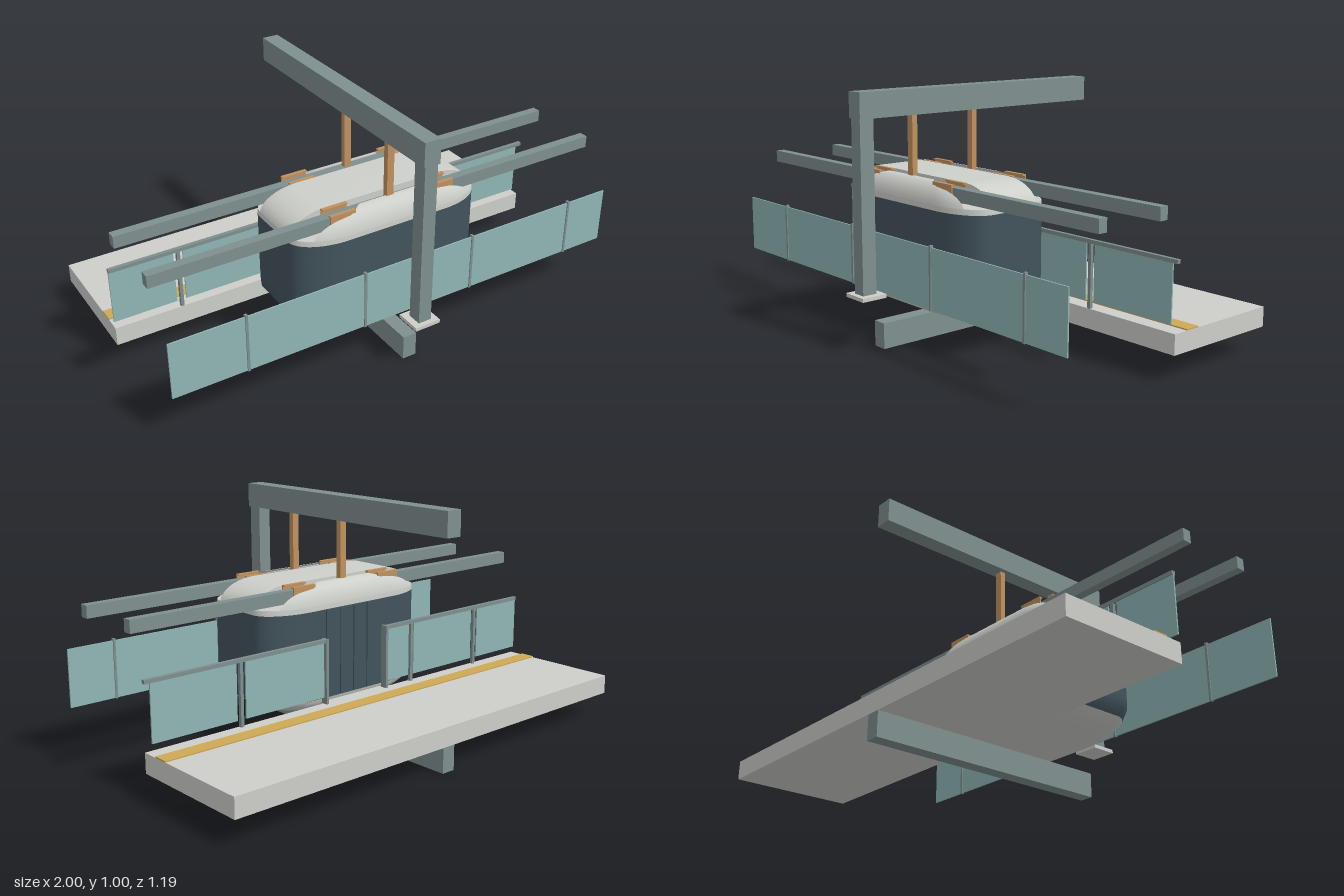
import * as THREE from 'three';
import { toCreasedNormals } from 'three/addons/utils/BufferGeometryUtils.js';

const mat = (name, color) => Object.assign(new THREE.MeshStandardMaterial({ color }), { name });

export function createModel() {
  const steel = mat('steel', 0x7f8f8f);
  const white = mat('pale shell', 0xcdcfca);
  const dark = mat('dark glazing', 0x42535c);
  const glass = mat('teal glass', 0x8fb6b5);
  const copper = mat('copper', 0xc0925f);
  const yellow = mat('safety yellow', 0xcfa955);

  const model = new THREE.Group();
  model.name = 'suspendedPodStation';

  const add = (parent, name, geo, material) => {
    const mesh = new THREE.Mesh(geo, material);
    mesh.name = name;
    parent.add(mesh);
    return mesh;
  };
  // Box given by its extents on each axis
  const box = (parent, name, material, [x0, x1], [y0, y1], [z0, z1]) => {
    const mesh = add(parent, name, new THREE.BoxGeometry(x1 - x0, y1 - y0, z1 - z0), material);
    mesh.position.set((x0 + x1) / 2, (y0 + y1) / 2, (z0 + z1) / 2);
    return mesh;
  };
  const group = (name) => {
    const g = new THREE.Group();
    g.name = name;
    model.add(g);
    return g;
  };

  // Support frame
  const frame = group('supportFrame');
  box(frame, 'topBeam', steel, [-0.035, 0.035], [0.9, 1], [-0.597, 0.58]);
  box(frame, 'column', steel, [-0.028, 0.028], [0.228, 0.9], [0.515, 0.576]);
  box(frame, 'basePlate', white, [-0.056, 0.056], [0.213, 0.228], [0.488, 0.597]);
  box(frame, 'lowerBeam', steel, [-0.03, 0.03], [0, 0.103], [-0.597, 0.484]);

  // Rails with their hangers
  const railZ = [0.012, 0.313];
  const rails = group('rails');
  for (const z of railZ) {
    box(rails, 'rail', steel, [-1, 1], [0.6, 0.65], [z - 0.019, z + 0.019]);
    box(rails, 'hanger', copper, [-0.015, 0.015], [0.65, 0.9], [z - 0.012, z + 0.012]);
  }

  // Platform
  const platform = group('platform');
  box(platform, 'slab', white, [-1, 1], [0.103, 0.182], [-0.597, -0.07]);
  box(platform, 'warningStrip', yellow, [-1, 1], [0.182, 0.187], [-0.2, -0.137]);
  box(platform, 'doorSill', white, [-0.16, 0.16], [0.165, 0.182], [-0.07, -0.045]);

  // Front glass barrier
  const barrier = group('frontBarrier');
  box(barrier, 'barrierGlass', glass, [-1, 1], [0.215, 0.45], [0.46, 0.466]);
  for (const x of [-0.7, -0.2, 0.3, 0.8])
    box(barrier, 'barrierPost', steel, [x - 0.005, x + 0.005], [0.213, 0.458], [0.456, 0.47]);

  // Platform edge screens either side of the door gap
  const screens = group('platformScreens');
  for (const s of [-1, 1]) {
    const span = (a, b) => [Math.min(a * s, b * s), Math.max(a * s, b * s)];
    box(screens, 'handrail', steel, span(0.16, 1), [0.435, 0.45], [-0.086, -0.07]);
    box(screens, 'doorPost', steel, span(0.158, 0.17), [0.182, 0.45], [-0.09, -0.06]);
  }
  for (const [a, b] of [[-1, -0.735], [-0.695, -0.33], [-0.3, -0.175], [0.175, 0.562], [0.603, 0.975]])
    box(screens, 'screenGlass', glass, [a, b], [0.21, 0.435], [-0.081, -0.075]);
  for (const x of [-0.715, -0.315, 0.583])
    box(screens, 'screenPost', steel, [x - 0.007, x + 0.007], [0.182, 0.435], [-0.085, -0.071]);

  // Pod hull: half length and half width vary with height, ends rounded in plan
  const ZC = 0.163, Y0 = 0.143, Y1 = 0.663;
  const drop = (t) => 1 - Math.sqrt(Math.max(0, 1 - Math.max(0, t) ** 2));
  const halfLength = (y) => 0.42 - 0.22 * drop((0.25 - y) / 0.107) - 0.16 * drop((y - 0.57) / 0.093);
  const halfWidth = (y) => 0.22 - 0.065 * drop((0.22 - y) / 0.077) - 0.065 * drop((y - 0.57) / 0.093);
  const N = 32;
  const ring = (y, zMin, zMax) => {
    const A = halfLength(y), B = halfWidth(y), rx = 0.2 * A / 0.42, rz = B / 2;
    const lo = THREE.MathUtils.clamp(zMin, -B, B), hi = THREE.MathUtils.clamp(zMax, -B, B);
    const right = [];
    for (let k = 0; k <= N; k++) {
      const z = (lo + hi) / 2 - (hi - lo) / 2 * Math.cos(Math.PI * k / N);
      right.push(new THREE.Vector3(A - rx * drop((Math.abs(z) - B + rz) / rz), y, z + ZC));
    }
    const left = right.map((p) => new THREE.Vector3(-p.x, p.y, p.z)).reverse();
    return [...right, ...left];
  };
  const loft = (ya, yb, steps, capBottom, capTop, zMin = -1, zMax = 1) => {
    const rings = [];
    for (let i = 0; i <= steps; i++) {
      // Levels crowd toward the rounded top or bottom
      let t = i / steps;
      if (ya === Y0) t = 1 - Math.cos(t * Math.PI / 2);
      if (yb === Y1) t = Math.sin(t * Math.PI / 2);
      rings.push(ring(ya + (yb - ya) * t, zMin, zMax));
    }
    const pos = [];
    const tri = (...pts) => {
      const [a, b, c] = pts;
      const area = b.clone().sub(a).cross(c.clone().sub(a)).length();
      if (area > 1e-10) pts.forEach((p) => pos.push(p.x, p.y, p.z));
    };
    const M = rings[0].length;
    for (let j = 0; j < M; j++) {
      const k = (j + 1) % M;
      for (let i = 0; i < steps; i++) {
        const a = rings[i][j], b = rings[i][k], c = rings[i + 1][k], d = rings[i + 1][j];
        tri(a, d, b);
        tri(b, d, c);
      }
      const cap = (r, up) => {
        const mid = new THREE.Vector3(0, r[0].y, (r[0].z + r[N].z) / 2);
        if (up) tri(mid, r[k], r[j]);
        else tri(mid, r[j], r[k]);
      };
      if (capBottom) cap(rings[0], false);
      if (capTop) cap(rings[steps], true);
    }
    const geo = new THREE.BufferGeometry();
    geo.setAttribute('position', new THREE.Float32BufferAttribute(pos, 3));
    return toCreasedNormals(geo, 0.6);
  };

  const pod = group('pod');
  const FLOOR = 0.585, G = 0.04;
  add(pod, 'underside', loft(Y0, 0.197, 10, true, false), white);
  add(pod, 'windowBand', loft(0.197, 0.563, 10, false, false), dark);
  add(pod, 'roofBase', loft(0.563, FLOOR, 3, false, true), white);
  // Roof above the groove floor, divided by the two rail grooves
  const [gb, gf] = railZ.map((z) => z - ZC);
  add(pod, 'roofCentre', loft(FLOOR, Y1, 10, false, true, gb + G, gf - G), white);
  add(pod, 'roofRimBack', loft(FLOOR, Y1, 10, false, true, -1, gb - G), white);
  add(pod, 'roofRimFront', loft(FLOOR, Y1, 10, false, true, gf + G, 1), white);

  // Sliding door leaves on the platform side
  for (const x of [-0.11, -0.037, 0.037, 0.11])
    box(pod, 'doorLeaf', dark, [x - 0.034, x + 0.034], [0.2, 0.56], [-0.063, -0.055]);

  // Channel brackets gripping the rails
  for (const z of railZ) for (const x of [-0.225, 0.225]) {
    const along = [x - 0.055, x + 0.055];
    box(pod, 'bracketFloor', copper, along, [0.586, 0.592], [z - 0.037, z + 0.037]);
    for (const s of [-1, 1]) {
      const c = z + s * 0.034, l = z + s * 0.03;
      box(pod, 'bracketWall', copper, along, [0.592, 0.664], [c - 0.003, c + 0.003]);
      box(pod, 'bracketLip', copper, along, [0.658, 0.664], [l - 0.008, l + 0.008]);
    }
  }
  return model;
}
